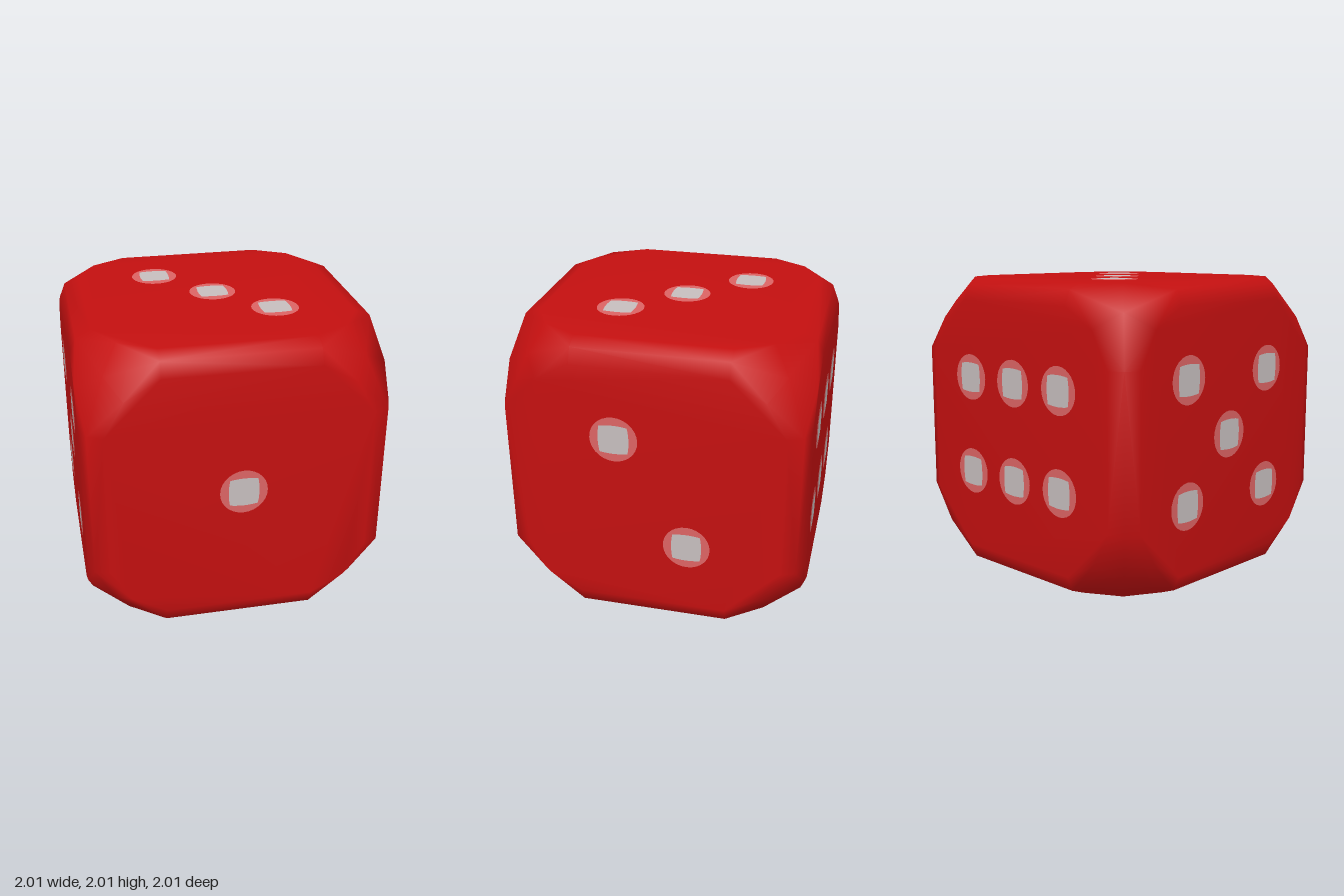
import * as THREE from 'three';
import { mergeVertices } from 'three/addons/utils/BufferGeometryUtils.js';
import { ConvexGeometry } from 'three/addons/geometries/ConvexGeometry.js';

const mat = (name, color) => {
  const m = new THREE.MeshStandardMaterial({ color });
  m.name = name;
  return m;
};

// Cube with narrow edge bevels and broad corner cuts, mirrored into all octants
function bodyGeometry() {
  const points = new Map();
  const seeds = [[1, 0.86, 0.5], [0.96, 0.96, 0.5], [1, 0.73, 0.73], [0.83, 0.83, 0.83]];
  const orders = [[0, 1, 2], [0, 2, 1], [1, 0, 2], [1, 2, 0], [2, 0, 1], [2, 1, 0]];
  for (const s of seeds)
    for (const o of orders)
      for (const sx of [-1, 1])
        for (const sy of [-1, 1])
          for (const sz of [-1, 1]) {
            const p = new THREE.Vector3(sx * s[o[0]], sy * s[o[1]], sz * s[o[2]]);
            points.set(p.toArray().join(), p);
          }
  const hull = new ConvexGeometry([...points.values()]);
  hull.deleteAttribute('normal');
  const g = mergeVertices(hull, 1e-4);
  g.computeVertexNormals();
  return g;
}

// Square patch with gently bowed sides
function patchGeometry(h, bow) {
  const s = new THREE.Shape();
  s.moveTo(-h, -h);
  s.quadraticCurveTo(0, -h - bow, h, -h);
  s.quadraticCurveTo(h + bow, 0, h, h);
  s.quadraticCurveTo(0, h + bow, -h, h);
  s.quadraticCurveTo(-h - bow, 0, -h, -h);
  return new THREE.ShapeGeometry(s, 6);
}

export function createModel() {
  const red = mat('red', 0xc41010);
  const pink = mat('pink', 0xdc6464);
  const grey = mat('light grey', 0xc6bebe);

  const model = new THREE.Group();
  model.name = 'die';
  const body = new THREE.Mesh(bodyGeometry(), red);
  body.name = 'body';
  body.position.y = 1;
  model.add(body);

  // Pip centres [x, y, z] relative to the middle of the cube
  const faces = [
    { name: 'front', rot: [0, 0], pips: [[0.015, 0.02, 1]] },
    { name: 'right', rot: [0, Math.PI / 2], pips: [[1, 0.37, 0.23], [1, -0.38, -0.24]] },
    { name: 'top', rot: [-Math.PI / 2, 0], pips: [[-0.33, 1, -0.4], [0.015, 1, -0.02], [0.36, 1, 0.35]] },
    { name: 'bottom', rot: [Math.PI / 2, 0],
      pips: [[0.3, -1, -0.36], [0.3, -1, 0.33], [-0.39, -1, -0.36], [-0.39, -1, 0.33]] },
    { name: 'left', rot: [0, -Math.PI / 2],
      pips: [[-1, 0.4, 0.39], [-1, -0.41, 0.39], [-1, 0, -0.01], [-1, 0.4, -0.425], [-1, -0.41, -0.425]] },
    { name: 'back', rot: [0, Math.PI],
      pips: [0.45, 0.01, -0.43].flatMap((x) => [[x, 0.335, -1], [x, -0.32, -1]]) },
  ];

  // Each pip is a pale disc with a square patch over it
  const disc = new THREE.CircleGeometry(0.157, 28);
  const patch = patchGeometry(0.092, 0.018);
  for (const { name, rot, pips } of faces) {
    const face = new THREE.Group();
    face.name = `${name}Pips`;
    face.position.y = 1;
    for (const p of pips) {
      const pip = new THREE.Group();
      pip.name = 'pip';
      pip.position.set(...p);
      pip.rotation.set(rot[0], rot[1], 0);
      const rim = new THREE.Mesh(disc, pink);
      rim.name = 'pipRim';
      rim.position.z = 0.003;
      const centre = new THREE.Mesh(patch, grey);
      centre.name = 'pipCentre';
      centre.position.z = 0.006;
      pip.add(rim, centre);
      face.add(pip);
    }
    model.add(face);
  }
  return model;
}
